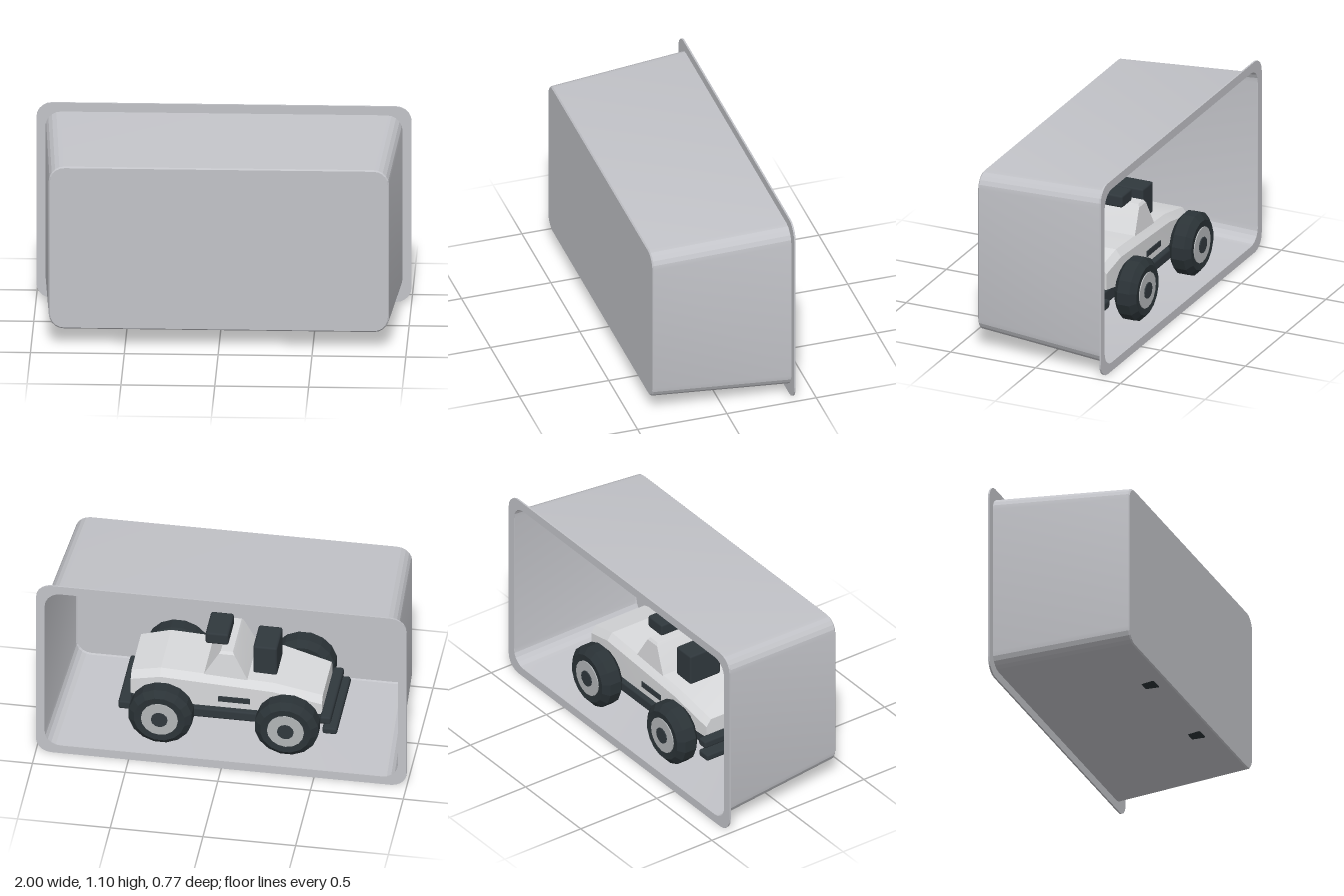
import * as THREE from 'three';
import { toCreasedNormals } from 'three/addons/utils/BufferGeometryUtils.js';
import { RoundedBoxGeometry } from 'three/addons/geometries/RoundedBoxGeometry.js';

const mat = (name, color, extra = {}) => {
  const m = new THREE.MeshStandardMaterial({ color, ...extra });
  m.name = name;
  return m;
};

// Joins rings of [x, y, z] points; rings run counterclockwise seen from the end ring
function loft(rings, capStart, capEnd) {
  const n = rings[0].length, pos = rings.flat(2), idx = [];
  for (let i = 0; i + 1 < rings.length; i++) {
    for (let j = 0; j < n; j++) {
      const k = (j + 1) % n;
      const a = i * n + j, b = i * n + k, c = b + n, d = a + n;
      idx.push(a, b, c, a, c, d);
    }
  }
  const last = (rings.length - 1) * n;
  for (let j = 1; j + 1 < n; j++) {
    if (capStart) idx.push(0, j + 1, j);
    if (capEnd) idx.push(last, last + j, last + j + 1);
  }
  const g = new THREE.BufferGeometry();
  g.setAttribute('position', new THREE.Float32BufferAttribute(pos, 3));
  g.setIndex(idx);
  return toCreasedNormals(g, 0.2);
}

// Rounded rectangle outline in the xy plane, counterclockwise
function roundRect(hx, y0, y1, r, segs = 5) {
  const pts = [];
  const corners = [[hx - r, y1 - r], [-hx + r, y1 - r], [-hx + r, y0 + r], [hx - r, y0 + r]];
  corners.forEach(([cx, cy], q) => {
    for (let i = 0; i <= segs; i++) {
      const a = (q + i / segs) * Math.PI / 2;
      pts.push([cx + r * Math.cos(a), cy + r * Math.sin(a)]);
    }
  });
  return pts;
}

export function createModel() {
  const model = new THREE.Group();
  const shell = mat('shell grey', 0xc2c3c8, { side: THREE.DoubleSide });
  const paint = mat('body light grey', 0xd8d9db);
  const rubber = mat('tyre black', 0x2b3337);
  const trim = mat('trim charcoal', 0x30383d);
  const metal = mat('rim grey', 0xb2b5b7);
  const add = (parent, name, geo, material, x = 0, y = 0, z = 0) => {
    const m = new THREE.Mesh(geo, material);
    m.name = name;
    m.position.set(x, y, z);
    parent.add(m);
    return m;
  };
  const box = (w, h, d, r = 0.012) => new RoundedBoxGeometry(w, h, d, 1, r);

  // Tapered tray, open at the back
  const ring = (hx, y0, y1, r, z) => roundRect(hx, y0, y1, r).map(([x, y]) => [x, y, z]);
  add(model, 'trayShell', loft([
    ring(0.952, 0.05, 1.054, 0.085, -0.38),
    ring(0.907, 0.096, 1.01, 0.082, 0.378),
    ring(0.9, 0.103, 1.003, 0.076, 0.385),
  ], false, true), shell);

  // Flat rim around the opening
  const toVec = ([x, y]) => new THREE.Vector2(x, y);
  const flange = new THREE.Shape(roundRect(1, 0, 1.104, 0.085).map(toVec));
  flange.holes.push(new THREE.Path(roundRect(0.952, 0.05, 1.054, 0.085).map(toVec)));
  add(model, 'trayFlange', new THREE.ExtrudeGeometry(flange, { depth: 0.009, bevelEnabled: false }),
    shell, 0, 0, -0.385);

  const buggy = new THREE.Group();
  buggy.name = 'buggy';
  model.add(buggy);

  // Body: cross-sections along x as [x, bottom, top, half width]
  const sections = [
    [-0.51, 0.27, 0.375, 0.18],
    [-0.25, 0.27, 0.44, 0.2],
    [0.36, 0.27, 0.47, 0.2],
    [0.52, 0.3, 0.43, 0.19],
  ];
  add(buggy, 'body', loft(sections.map(([x, b, t, w]) => [
    [x, t, -w + 0.03], [x, t, w - 0.03], [x, t - 0.04, w],
    [x, b, w], [x, b, -w], [x, t - 0.04, -w],
  ]), true, true), paint);

  // Wedge cabin on the deck
  const plan = (x0, x1, y, z) => [[x1, y, z], [x1, y, -z], [x0, y, -z], [x0, y, z]];
  add(buggy, 'cabin', loft([
    plan(-0.12, 0.15, 0.42, 0.175),
    plan(-0.035, 0.05, 0.59, 0.16),
    plan(-0.025, 0.04, 0.605, 0.15),
  ], true, true), paint);

  add(buggy, 'roofBox', box(0.125, 0.07, 0.2), trim, 0.07, 0.64, 0);
  add(buggy, 'engineBlock', box(0.13, 0.18, 0.2), trim, -0.19, 0.525, 0);
  add(buggy, 'chassis', box(1.04, 0.08, 0.34), trim, 0, 0.235, 0);
  add(buggy, 'frontBumperUpper', box(0.06, 0.045, 0.46), trim, -0.535, 0.265, 0);
  add(buggy, 'frontBumperLower', box(0.08, 0.04, 0.48), trim, -0.56, 0.205, 0);
  add(buggy, 'rearBumper', box(0.07, 0.05, 0.42), trim, 0.55, 0.225, 0);

  for (const s of [-1, 1]) {
    add(buggy, 'sideRail', box(0.46, 0.06, 0.05), trim, 0, 0.235, s * 0.2);
    add(buggy, 'sideVent', new THREE.BoxGeometry(0.17, 0.032, 0.008), trim, -0.04, 0.325, s * 0.202);
  }

  // Wheels
  const segs = 16, R = 0.17 / Math.cos(Math.PI / segs);
  const profile = [[0.08, -0.058], [0.138, -0.065], [R, -0.035], [R, 0.035], [0.138, 0.065], [0.08, 0.058]];
  const tyreGeo = toCreasedNormals(
    new THREE.LatheGeometry(profile.map(toVec), segs, Math.PI / segs), 0.2);
  const rimGeo = new THREE.CylinderGeometry(0.1, 0.1, 0.132, segs);
  const capGeo = new THREE.CylinderGeometry(0.045, 0.045, 0.144, 12);
  const axleGeo = new THREE.CylinderGeometry(0.03, 0.03, 0.5, 10);
  for (const x of [-0.34, 0.34]) {
    add(buggy, 'axle', axleGeo, trim, x, 0.258, 0).rotation.x = Math.PI / 2;
    for (const z of [-0.283, 0.283]) {
      const wheel = new THREE.Group();
      wheel.name = 'wheel';
      wheel.position.set(x, 0.258, z);
      wheel.rotation.x = Math.PI / 2;
      add(wheel, 'tyre', tyreGeo, rubber);
      add(wheel, 'rim', rimGeo, metal);
      add(wheel, 'hubCap', capGeo, trim);
      buggy.add(wheel);
    }
  }
  return model;
}
